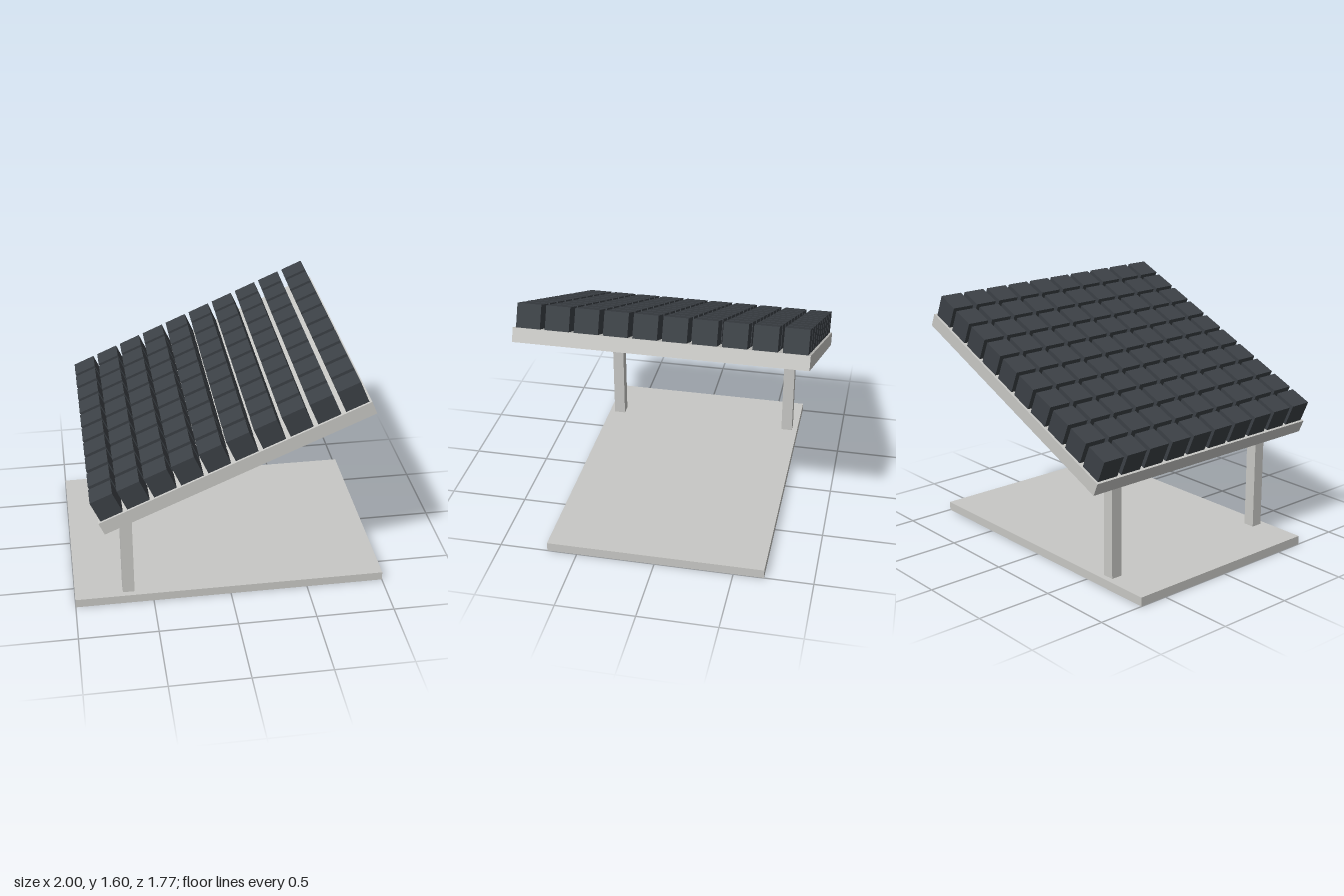
import * as THREE from 'three';

export function createModel() {
  const model = new THREE.Group();
  model.name = 'tiltedPanelArray';

  const frameGrey = new THREE.MeshStandardMaterial({ color: 0xc8c8c5 });
  frameGrey.name = 'frameGrey';
  const cellSlate = new THREE.MeshStandardMaterial({ color: 0x3c4146 });
  cellSlate.name = 'cellSlate';

  const addBox = (parent, name, material, size, position) => {
    const mesh = new THREE.Mesh(new THREE.BoxGeometry(...size), material);
    mesh.name = name;
    mesh.position.set(...position);
    parent.add(mesh);
    return mesh;
  };

  // Ground plate
  addBox(model, 'base', frameGrey, [2, 0.058, 1.385], [0, 0.029, 0]);

  // Two posts under the low edge of the panel
  for (const side of [1, -1]) {
    addBox(model, side > 0 ? 'frontPost' : 'backPost', frameGrey,
      [0.075, 0.79, 0.075], [-0.657, 0.45, side * 0.618]);
  }

  // Tilted panel, rising towards +x
  const panel = new THREE.Group();
  panel.name = 'panel';
  panel.position.set(-0.003, 1.08, 0);
  panel.rotation.z = THREE.MathUtils.degToRad(23.4);
  model.add(panel);
  addBox(panel, 'backing', frameGrey, [1.77, 0.088, 1.77], [0, 0, 0]);

  // 10 x 10 grid of cubes standing on the panel
  const count = 10, pitch = 0.177, cube = 0.147;
  const cells = new THREE.Group();
  cells.name = 'cells';
  panel.add(cells);
  for (let row = 0; row < count; row++) {
    for (let col = 0; col < count; col++) {
      addBox(cells, 'cell', cellSlate, [cube, cube, cube],
        [(col - 4.5) * pitch, 0.044 + cube / 2, (row - 4.5) * pitch]);
    }
  }
  return model;
}
